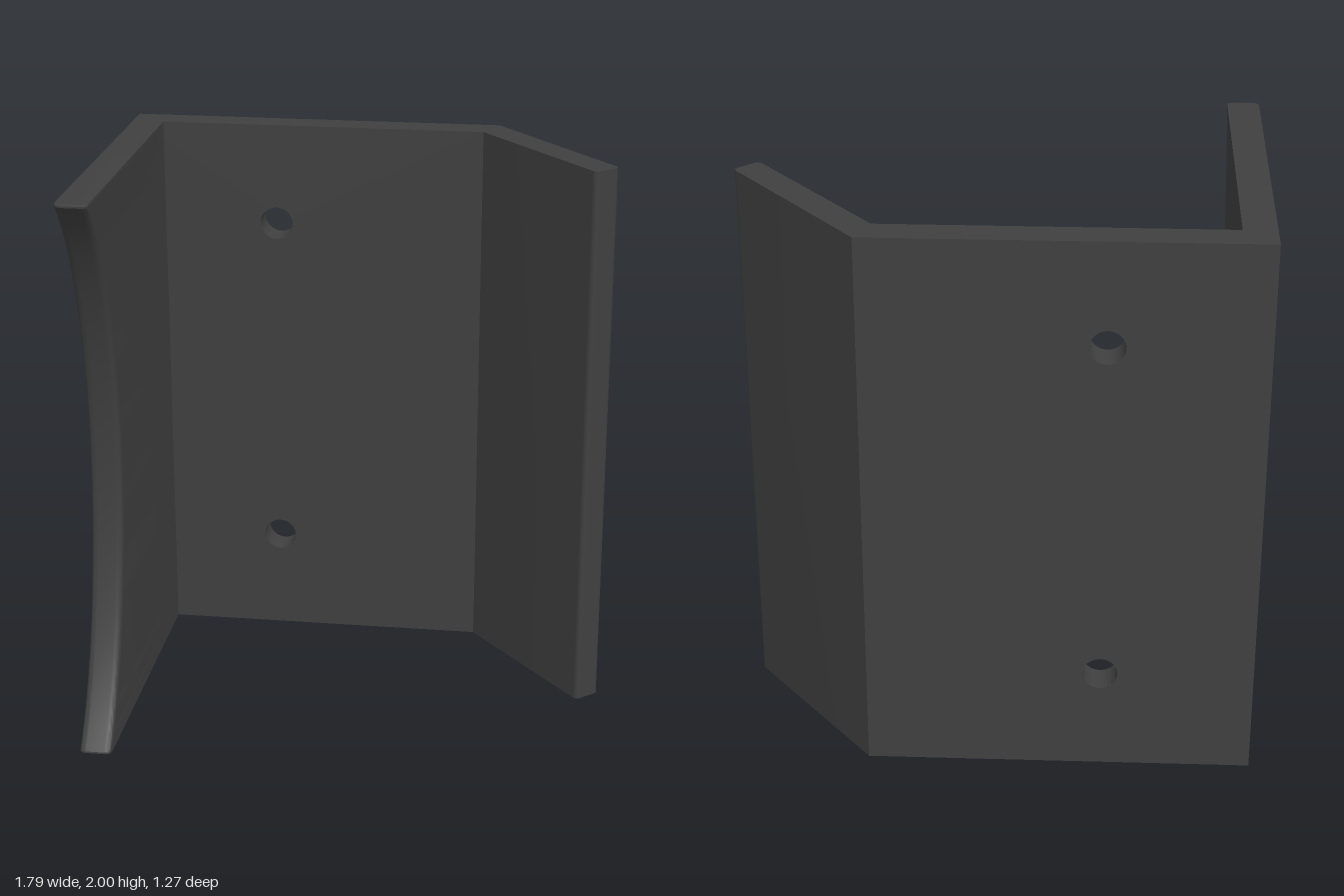
import * as THREE from 'three';
import { toCreasedNormals } from 'three/addons/utils/BufferGeometryUtils.js';

const HEIGHT = 2;
const material = new THREE.MeshStandardMaterial({ color: 0x404040 });

// Closed outline from [x, z, cornerRadius] points, seen from above
function planShape(points) {
  const shape = new THREE.Shape();
  const v = points.map(([x, z]) => new THREE.Vector2(x, -z));
  points.forEach(([, , r = 0], i) => {
    const p = v[i], prev = v[(i + v.length - 1) % v.length], next = v[(i + 1) % v.length];
    const a = p.clone().add(prev.clone().sub(p).setLength(r));
    const b = p.clone().add(next.clone().sub(p).setLength(r));
    if (i === 0) shape.moveTo(a.x, a.y);
    else shape.lineTo(a.x, a.y);
    if (r) shape.quadraticCurveTo(p.x, p.y, b.x, b.y);
  });
  shape.closePath();
  return shape;
}

// Extrude a plan outline upwards from the ground
function extrudePlan(points, steps = 1) {
  const geo = new THREE.ExtrudeGeometry(planShape(points), {
    depth: HEIGHT, steps, bevelEnabled: false, curveSegments: 6,
  });
  return geo.rotateX(-Math.PI / 2);
}

// Front edge of the side wall: elliptical scoop with rounded tips
function scoopEdge(y) {
  const scoop = 0.31 + 0.65 * (1 - Math.sqrt(1 - ((y - 1) / 1.15) ** 2));
  const r = 0.02, d = Math.min(r, Math.max(0, Math.min(y, HEIGHT - y)));
  const tip = 0.616 + Math.sqrt(r * r - (r - d) ** 2);
  return Math.min(scoop, tip);
}

export function createModel() {
  const group = new THREE.Group();
  const add = (name, geo) => {
    const mesh = new THREE.Mesh(toCreasedNormals(geo, 0.6), material);
    mesh.name = name;
    group.add(mesh);
  };

  // Back plate with two screw holes
  const plate = new THREE.Shape();
  plate.moveTo(-0.9, 0);
  plate.lineTo(0.39, 0);
  plate.lineTo(0.39, HEIGHT);
  plate.lineTo(-0.9, HEIGHT);
  plate.closePath();
  for (const y of [0.375, 1.63]) {
    const hole = new THREE.Path();
    hole.absarc(-0.37, y, 0.06, 0, Math.PI * 2, true);
    plate.holes.push(hole);
  }
  const plateGeo = new THREE.ExtrudeGeometry(plate, { depth: 0.11, bevelEnabled: false, curveSegments: 24 });
  add('backPlate', plateGeo.translate(0, 0, -0.637));

  // Angled flange, mitred to the plate
  add('angledFlange', extrudePlan([
    [0.39, -0.527], [0.815, -0.018, 0.02], [0.893, -0.088, 0.02], [0.44, -0.637], [0.39, -0.637],
  ]));

  // Side wall: rows bunched towards both ends, front edge pushed back to the scoop
  const wall = extrudePlan([
    [-0.9, -0.527], [-0.9, 0.636, 0.025], [-0.787, 0.636, 0.025], [-0.787, -0.527],
  ], 64);
  const pos = wall.attributes.position;
  for (let i = 0; i < pos.count; i++) {
    const y = 1 - Math.cos(Math.PI * pos.getY(i) / HEIGHT);
    pos.setY(i, y);
    if (pos.getZ(i) > 0) pos.setZ(i, pos.getZ(i) + scoopEdge(y) - 0.636);
  }
  add('scoopedSideWall', wall);

  return group;
}
